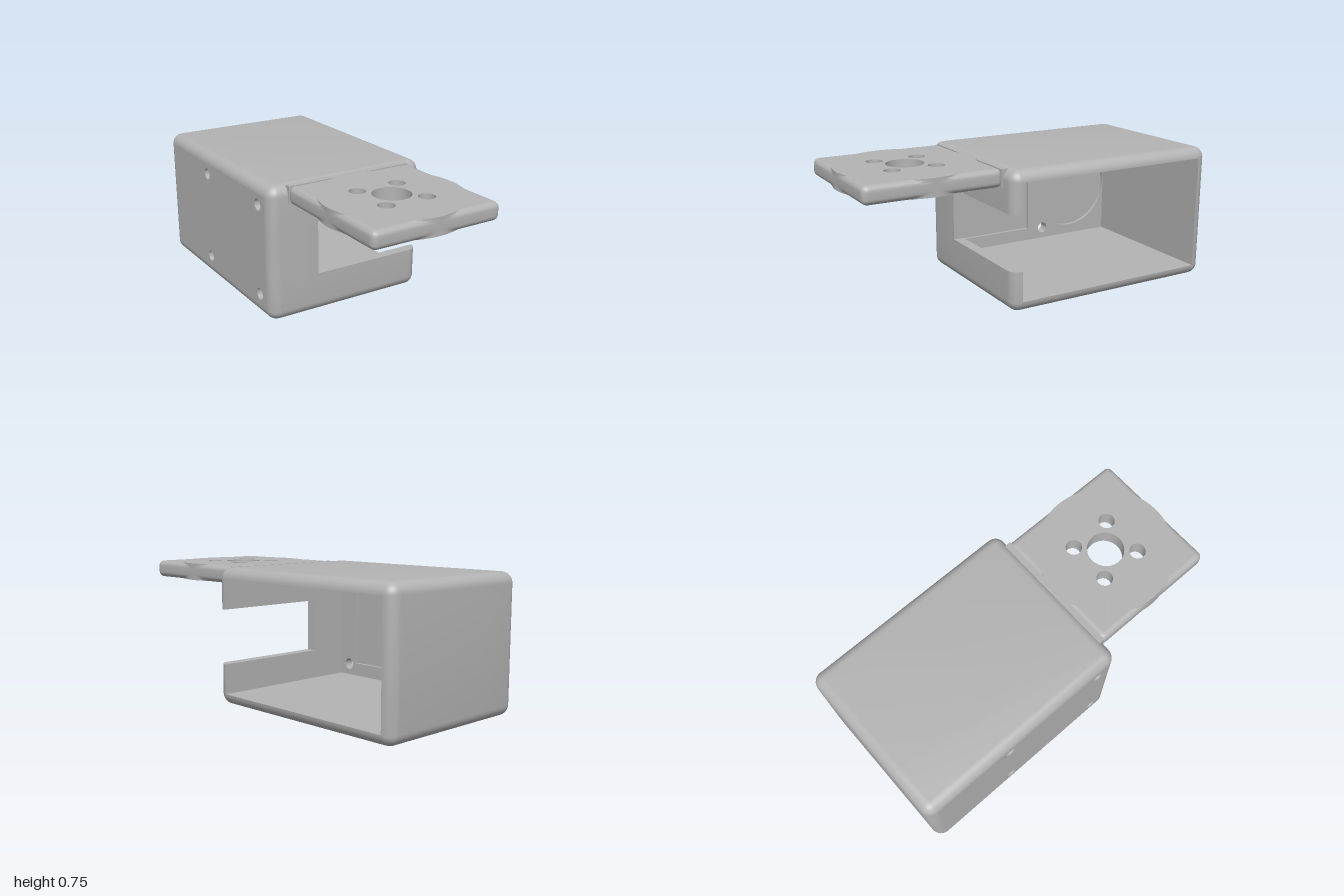
import * as THREE from 'three';
import { toCreasedNormals } from 'three/addons/utils/BufferGeometryUtils.js';

const grey = new THREE.MeshStandardMaterial({ color: 0xb3b3b3, side: THREE.DoubleSide });
grey.name = 'plain grey';

// Skin a list of rings; skip(i, j) leaves a quad open
function loft(rings, closed = true, skip = () => false) {
  const pos = [];
  for (let i = 0; i < rings.length - 1; i++) {
    const n = rings[i].length;
    for (let j = 0; j < (closed ? n : n - 1); j++) {
      if (skip(i, j)) continue;
      const k = (j + 1) % n;
      const a = rings[i][j], b = rings[i][k], c = rings[i + 1][k], d = rings[i + 1][j];
      pos.push(...a, ...d, ...c, ...a, ...c, ...b);
    }
  }
  const g = new THREE.BufferGeometry();
  g.setAttribute('position', new THREE.Float32BufferAttribute(pos, 3));
  return toCreasedNormals(g, 0.5);
}

function add(group, name, geometry, x = 0, y = 0, z = 0) {
  const m = new THREE.Mesh(geometry, grey);
  m.name = name;
  m.position.set(x, y, z);
  group.add(m);
}

const circle = (x, y, r) => new THREE.Path().absarc(x, y, r, 0, Math.PI * 2, true);
const rect = (C, x0, x1, y0, y1) =>
  new C([[x0, y0], [x1, y0], [x1, y1], [x0, y1]].map(p => new THREE.Vector2(...p)));

// Hollow housing, open on the +x side, with a slot in its front wall
function buildHousing() {
  const g = new THREE.Group();
  g.name = 'housing';
  const R = 0.06, CX = 0.415, Z0 = -0.94, Z1 = 0.2, Y0 = 0.06, Y1 = 0.69;
  const slotX = -0.19, slotY0 = 0.225, slotY1 = 0.525, S = 8;

  // Stations along x: position and edge radius
  const stations = [];
  for (let i = 0; i <= S; i++) {
    const t = (i / S) * Math.PI / 2;
    stations.push([-CX - R * Math.cos(t), R * Math.sin(t)]);
  }
  const slotStart = stations.length;
  stations.push([slotX, R]);
  for (let i = 0; i <= S; i++) {
    const t = (i / S) * Math.PI / 2;
    stations.push([CX + R * Math.sin(t), R * Math.cos(t)]);
  }

  // Section: inner corner points with the outward direction of the skin
  const section = [];
  [[Z1, Y1], [Z0, Y1], [Z0, Y0], [Z1, Y0]].forEach(([z, y], q) => {
    for (let i = 0; i <= S; i++) section.push([z, y, (q + i / S) * Math.PI / 2]);
  });
  const slotJ = section.length;
  section.push([Z1, slotY0, 0], [Z1, slotY1, 0]);
  const ring = (x, r) => section.map(([z, y, a]) => [x, y + r * Math.sin(a), z + r * Math.cos(a)]);

  add(g, 'outerShell', loft(stations.map(([x, r]) => ring(x, r)), true,
    (i, j) => i >= slotStart && j === slotJ));

  // Cavity lining
  const inner = [[Z1, Y1], [Z0, Y1], [Z0, Y0], [Z1, Y0], [Z1, slotY0], [Z1, slotY1]];
  add(g, 'cavityLining', loft([CX + R, slotX, -CX].map(x => inner.map(([z, y]) => [x, y, z])), true,
    (i, j) => i === 0 && j === 4));

  // Edges of the front slot
  const open = stations.slice(slotStart);
  const path = [...open.slice().reverse().map(([x, r]) => [x, slotY1, r]),
    ...open.map(([x, r]) => [x, slotY0, r])];
  add(g, 'slotEdges', loft([path.map(([x, y]) => [x, y, Z1]), path.map(([x, y, r]) => [x, y, Z1 + r])], false));

  // Side wall in two layers: screw holes go through, recesses only in the inner layer
  const layer = (name, depth, x, recesses) => {
    const s = rect(THREE.Shape, Z0, Z1, Y0, Y1);
    for (const z of [0.13, -0.475]) for (const y of [0.125, 0.63]) s.holes.push(circle(z, y, 0.032));
    s.holes.push(...recesses);
    const e = new THREE.ExtrudeGeometry(s, { depth, bevelEnabled: false, curveSegments: 40 });
    add(g, name, toCreasedNormals(e.rotateY(-Math.PI / 2), 0.5), x);
  };
  layer('sideWallOuter', 0.04, -0.435, []);
  layer('sideWallInner', 0.02, -CX,
    [rect(THREE.Path, -0.37, 0.075, 0.135, 0.62), circle(-0.68, 0.375, 0.258)]);
  return g;
}

// Mounting plate: a filleted square joined with a sharp-edged disc
function buildPlate() {
  const g = new THREE.Group();
  g.name = 'mountingPlate';
  const H = 0.371, F = 0.03, T = 0.048, N = 360, S = 6, C = H - F;
  const outline = rho => Array.from({ length: N }, (_, k) => {
    const a = (k / N) * Math.PI * 2;
    const u = Math.max(Math.abs(Math.cos(a)), Math.abs(Math.sin(a)));
    const v = Math.min(Math.abs(Math.cos(a)), Math.abs(Math.sin(a)));
    let t = (C + rho) / u;
    if (t * v > C) {
      const p = C * (u + v);
      t = p + Math.sqrt(Math.max(0, p * p - 2 * C * C + rho * rho));
    }
    t = Math.max(t, H);
    return [t * Math.cos(a), t * Math.sin(a)];
  });

  const levels = [];
  for (let i = 0; i <= S; i++) {
    const t = (i / S) * Math.PI / 2;
    levels.push([-T + F - F * Math.cos(t), F * Math.sin(t)]);
  }
  levels.push(...levels.slice().reverse().map(([y, r]) => [-y, r]));
  add(g, 'plateRim', loft(levels.map(([y, r]) => outline(r).map(([x, z]) => [x, y, z]))));

  // Centre bore and four screw holes
  const holes = [[0, 0, 0.1]];
  for (const x of [-0.121, 0.121]) for (const z of [-0.121, 0.121]) holes.push([x, z, 0.044]);
  const s = new THREE.Shape(outline(0).map(p => new THREE.Vector2(...p)));
  holes.forEach(h => s.holes.push(circle(...h)));
  for (const side of [1, -1]) {
    const f = new THREE.ShapeGeometry(s, 24).rotateX(-side * Math.PI / 2);
    add(g, side > 0 ? 'plateTop' : 'plateBottom', f, 0, side * T, 0);
  }
  for (const [x, z, r] of holes)
    add(g, 'holeWall', new THREE.CylinderGeometry(r, r, 2 * T, 48, 1, true), x, 0, z);

  // Square-edged bridge to the housing
  add(g, 'plateBridge', new THREE.BoxGeometry(2 * H, 2 * T, 0.035), 0, 0, -0.376);
  g.position.set(0.004, 0.7, 0.628);
  return g;
}

export function createModel() {
  const model = new THREE.Group();
  model.name = 'housingWithMountingPlate';
  model.add(buildHousing(), buildPlate());
  return model;
}
